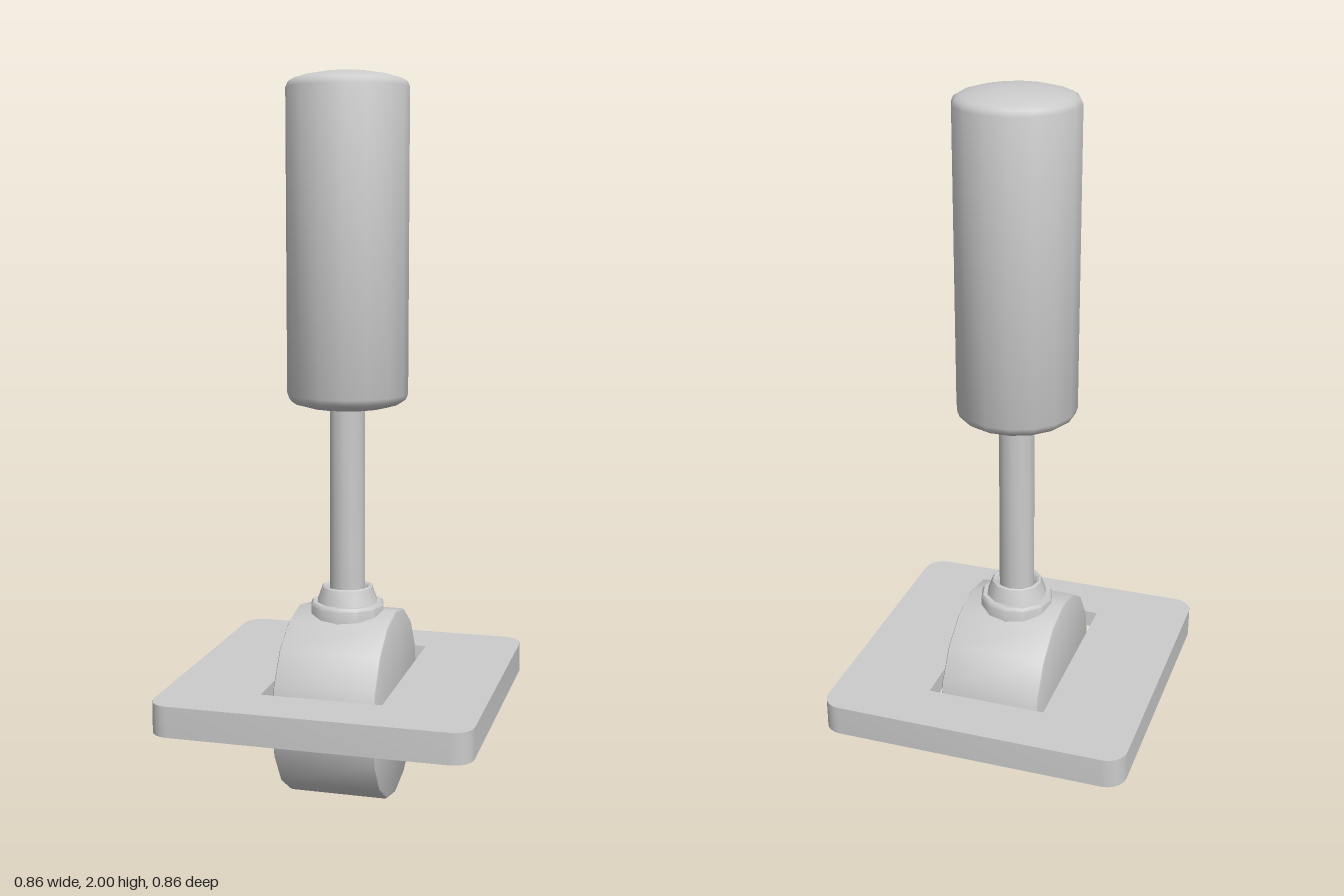
import * as THREE from 'three';
import { toCreasedNormals } from 'three/addons/utils/BufferGeometryUtils.js';

const grey = new THREE.MeshStandardMaterial({ color: 0xcccccc });
const thin = new THREE.MeshStandardMaterial({ color: 0xcccccc, side: THREE.DoubleSide });

function addMesh(parent, name, geometry, material = grey) {
  const mesh = new THREE.Mesh(geometry, material);
  mesh.name = name;
  parent.add(mesh);
  return mesh;
}

// Turned part from [radius, height] pairs, bottom to top
function turned(profile, segments, start = 0, crease = 0.6) {
  const points = profile.map(([r, y]) => new THREE.Vector2(r, y));
  return toCreasedNormals(new THREE.LatheGeometry(points, segments, start), crease);
}

// Rounded rectangle as a counter-clockwise list of [x, z] points
function rectangle(hx, hz, radius, steps) {
  const points = [];
  const corners = [[1, 1], [-1, 1], [-1, -1], [1, -1]];
  corners.forEach(([sx, sz], c) => {
    for (let i = 0; i <= steps; i++) {
      const a = (c + (steps ? i / steps : 0)) * Math.PI / 2;
      points.push(new THREE.Vector2(
        sx * (hx - radius) + radius * Math.cos(a),
        sz * (hz - radius) + radius * Math.sin(a)));
    }
  });
  return points;
}

// Open band of quads between an upper and a lower loop
function band(upper, yTop, lower, yBottom) {
  const pos = [];
  const n = upper.length;
  for (let i = 0; i < n; i++) {
    const j = (i + 1) % n;
    const a = [upper[i].x, yTop, upper[i].y], b = [upper[j].x, yTop, upper[j].y];
    const c = [lower[i].x, yBottom, lower[i].y], d = [lower[j].x, yBottom, lower[j].y];
    pos.push(...a, ...b, ...c, ...b, ...d, ...c);
  }
  const geometry = new THREE.BufferGeometry();
  geometry.setAttribute('position', new THREE.Float32BufferAttribute(pos, 3));
  return toCreasedNormals(geometry, 0.6);
}

export function createModel() {
  const model = new THREE.Group();
  model.name = 'lever';

  // Hollow cover plate: top sheet with slot, outer skirt, short slot flange
  const plate = new THREE.Group();
  plate.name = 'coverPlate';
  model.add(plate);
  const top = 0.355;
  const outer = rectangle(0.432, 0.432, 0.055, 5);
  const slot = rectangle(0.167, 0.274, 0, 0);
  const slotInner = rectangle(0.163, 0.27, 0, 0);
  const sheet = new THREE.Shape(outer);
  sheet.holes.push(new THREE.Path(slot));
  const sheetGeometry = new THREE.ShapeGeometry(sheet);
  sheetGeometry.rotateX(-Math.PI / 2).translate(0, top, 0);
  addMesh(plate, 'plateTop', sheetGeometry, thin);
  addMesh(plate, 'plateSkirt', band(outer, top, outer, 0.27), thin);
  addMesh(plate, 'slotFlange', band(slot, top, slotInner, 0.308), thin);

  // Pivot drum lying along x
  const drum = addMesh(model, 'pivotDrum', turned([
    [0, -0.142], [0.257, -0.142], [0.263, -0.139], [0.265, -0.133],
    [0.265, 0.133], [0.263, 0.139], [0.257, 0.142], [0, 0.142],
  ], 16));
  drum.rotation.z = Math.PI / 2;
  drum.position.y = 0.27;

  // Stepped collar seated on the drum
  addMesh(model, 'collar', turned([
    [0, 0.49], [0.104, 0.49], [0.104, 0.548], [0.098, 0.556], [0.086, 0.556],
    [0.071, 0.598], [0.066, 0.601], [0.059, 0.598], [0.05, 0.583],
  ], 12, 0, 0.65));

  // Rod
  addMesh(model, 'rod', turned([[0.05, 0.5], [0.05, 1.14]], 12));

  // Grip with rounded ends
  addMesh(model, 'grip', turned([
    [0, 1.104], [0.11, 1.104], [0.146, 1.114], [0.16, 1.124], [0.166, 1.14],
    [0.166, 1.958], [0.16, 1.972], [0.146, 1.98], [0.11, 1.99], [0.06, 1.998], [0, 2],
  ], 16, Math.PI / 16, 0.85));

  return model;
}
